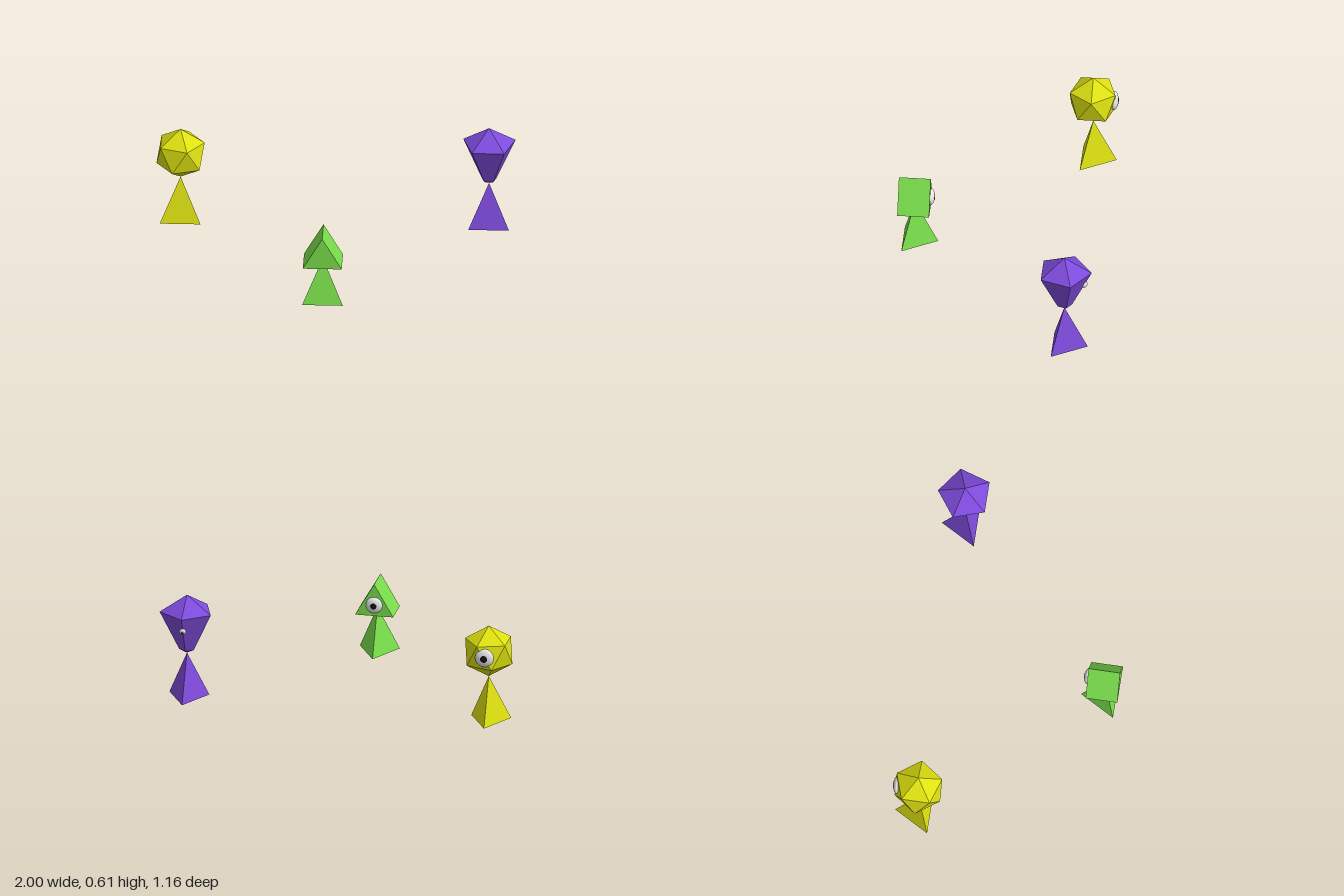
import * as THREE from 'three';

const material = (name, color) => {
  const m = new THREE.MeshStandardMaterial({ color });
  m.name = name;
  return m;
};

// Gives every triangle its own normal for a faceted look
const faceted = (geometry) => {
  const g = geometry.index ? geometry.toNonIndexed() : geometry;
  g.computeVertexNormals();
  return g;
};

const part = (name, geometry, mat, x = 0, y = 0, z = 0) => {
  const mesh = new THREE.Mesh(geometry, mat);
  mesh.name = name;
  mesh.position.set(x, y, z);
  return mesh;
};

export function createModel() {
  const yellow = material('yellow', 0xdde010);
  const green = material('green', 0x7ade4c);
  const purple = material('purple', 0x7e4bdb);
  const white = material('eyeWhite', 0xeeeeee);
  const black = material('pupilBlack', 0x111111);

  // Flattened eyeball with a small pupil, looking towards -z
  const eye = (radius, depth, y, z, tilt = 0) => {
    const group = new THREE.Group();
    group.name = 'eye';
    const ball = part('eyeball', new THREE.SphereGeometry(radius, 24, 16), white);
    ball.scale.z = depth / radius;
    const pupil = part('pupil', new THREE.SphereGeometry(radius * 0.4, 16, 12), black, 0, 0, -depth * 0.86);
    pupil.scale.z = (depth * 0.2) / (radius * 0.4);
    group.add(ball, pupil);
    group.position.set(0, y, z);
    group.rotation.x = tilt;
    return group;
  };

  // Three-sided pyramid body with one corner towards -z
  const bodyGeometry = faceted(new THREE.ConeGeometry(0.131, 0.265, 3).rotateY(Math.PI));

  // Twenty-sided ball standing on a corner
  const ballHead = faceted(
    new THREE.IcosahedronGeometry(0.15).rotateZ(-Math.atan(2 / (1 + Math.sqrt(5)))));

  // Triangular prism lying along z
  const prismHead = faceted(new THREE.CylinderGeometry(0.125, 0.125, 0.178, 3).rotateX(-Math.PI / 2));

  // Five-sided cut gem with a blunt lower tip
  const gemProfile = [[0, 0.265], [0.043, 0.288], [0.153, 0.515], [0, 0.61]]
    .map(([r, y]) => new THREE.Vector2(r, y));
  const gemHead = faceted(new THREE.LatheGeometry(gemProfile, 5).rotateY(Math.PI));

  const figures = [
    { name: 'yellowFigure', mat: yellow, x: -0.865, z: -0.43, head: ballHead, headY: 0.415,
      eye: eye(0.053, 0.024, 0.416, -0.117) },
    { name: 'greenFigure', mat: green, x: -0.035, z: 0.491, head: prismHead, headY: 0.305,
      eye: eye(0.047, 0.023, 0.307, -0.089) },
    { name: 'purpleFigure', mat: purple, x: 0.853, z: -0.426, head: gemHead, headY: 0,
      eye: eye(0.02, 0.013, 0.433, -0.114, -0.45) },
  ];

  const model = new THREE.Group();
  model.name = 'geometricFigures';
  for (const f of figures) {
    const figure = new THREE.Group();
    figure.name = f.name;
    figure.position.set(f.x, 0, f.z);
    figure.add(
      part('body', bodyGeometry, f.mat, 0, 0.1325, 0),
      part('head', f.head, f.mat, 0, f.headY, 0),
      f.eye);
    model.add(figure);
  }
  return model;
}
